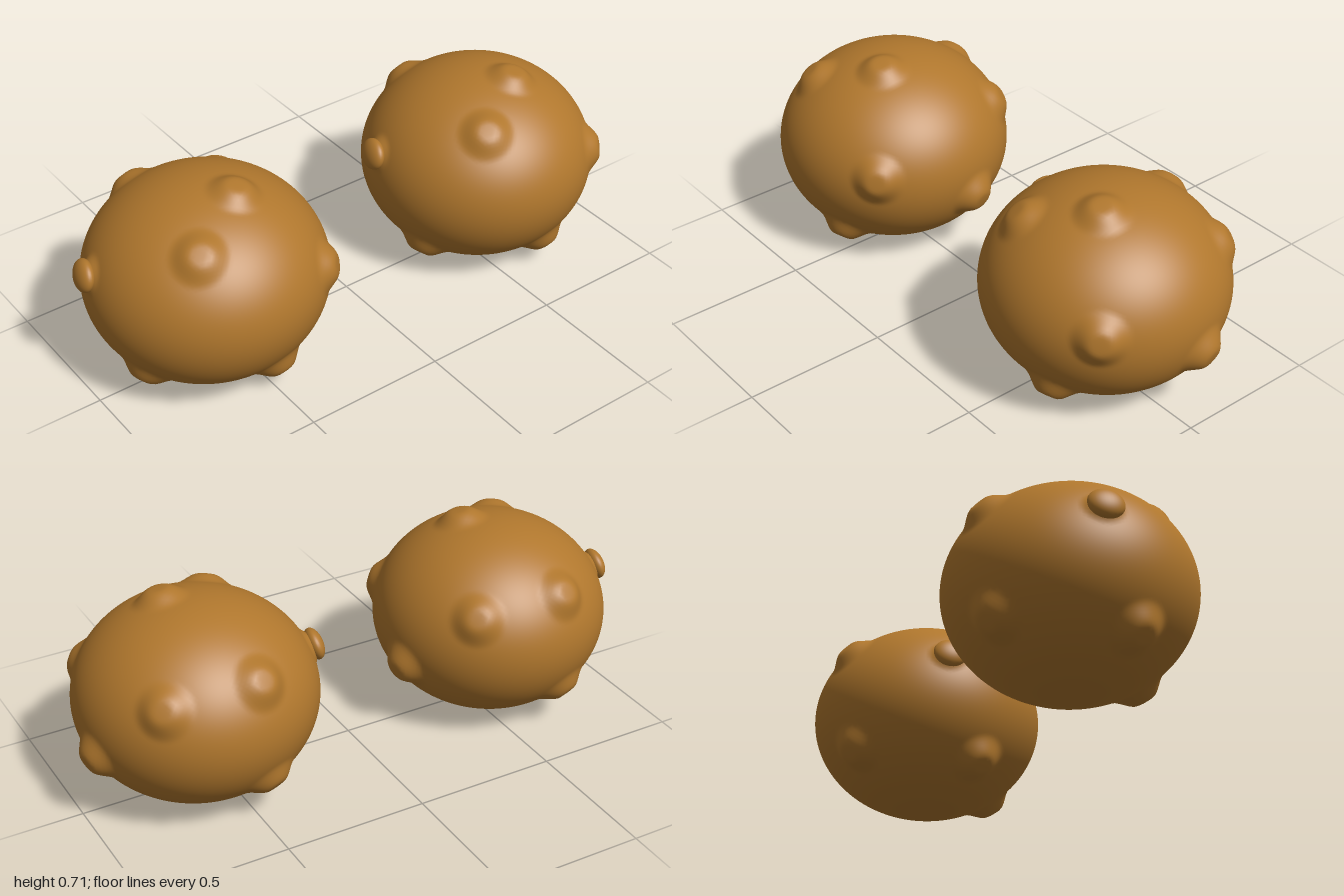
import * as THREE from 'three';
import { mergeVertices } from 'three/addons/utils/BufferGeometryUtils.js';

const RADII = new THREE.Vector3(0.41, 0.345, 0.41);

// Knobbly bumps: direction from the body centre, height, outer radius
const BUMPS = [
  [0.09, 0.33, -0.07, 0.03, 0.1],    // top
  [0.22, 0.25, 0.15, 0.028, 0.1],    // upper front left
  [-0.35, 0.2, 0.08, 0.03, 0.1],     // upper right
  [-0.28, 0.15, -0.23, 0.028, 0.1],  // upper back right
  [0.3, 0.06, -0.31, 0.032, 0.1],    // back left
  [-0.07, -0.095, -0.4, 0.038, 0.1], // back
  [0.3, -0.25, -0.085, 0.04, 0.1],   // lower left
  [-0.35, -0.21, 0.12, 0.03, 0.1],   // lower right
  [0.08, -0.24, 0.3, 0.034, 0.1],    // lower front
  [-0.08, 0.105, 0.38, 0.02, 0.07],  // neck under the front knob
];

// Project a direction onto the ellipsoid surface
function onSurface(v) {
  const k = Math.hypot(v.x / RADII.x, v.y / RADII.y, v.z / RADII.z);
  return v.clone().divideScalar(k);
}

// Smooth ellipsoid pushed outwards around each bump
function bodyGeometry() {
  let geo = new THREE.IcosahedronGeometry(1, 36);
  geo.deleteAttribute('uv');
  geo.deleteAttribute('normal');
  geo = mergeVertices(geo, 1e-5);
  const bumps = BUMPS.map(([x, y, z, height, radius]) => {
    const centre = onSurface(new THREE.Vector3(x, y, z));
    return { centre, height, radius, out: centre.clone().divide(RADII).divide(RADII).normalize() };
  });
  const pos = geo.attributes.position;
  const p = new THREE.Vector3();
  for (let i = 0; i < pos.count; i++) {
    p.fromBufferAttribute(pos, i).multiply(RADII);
    const base = p.clone();
    for (const b of bumps) {
      const d = base.distanceTo(b.centre);
      const w = 1 - THREE.MathUtils.smoothstep(d, b.radius * 0.3, b.radius);
      p.addScaledVector(b.out, b.height * w);
    }
    pos.setXYZ(i, p.x, p.y, p.z);
  }
  geo.computeVertexNormals();
  return geo;
}

export function createModel() {
  const model = new THREE.Group();
  const skin = new THREE.MeshStandardMaterial({ color: 0xb0772d });
  skin.name = 'brown skin';
  const body = bodyGeometry();
  const knob = new THREE.SphereGeometry(1, 32, 20);

  // Two identical lumps, one in front of the other
  for (const [name, z] of [['frontLump', 0.57], ['backLump', -0.575]]) {
    const lump = new THREE.Group();
    lump.name = name;
    const bodyMesh = new THREE.Mesh(body, skin);
    bodyMesh.name = 'body';
    const knobMesh = new THREE.Mesh(knob, skin);
    knobMesh.name = 'frontKnob';
    knobMesh.scale.set(0.06, 0.054, 0.03);
    knobMesh.position.set(-0.082, 0.107, 0.399);
    knobMesh.rotation.set(-0.25, -0.15, 0);
    lump.add(bodyMesh, knobMesh);
    lump.position.set(0, 0.345, z);
    model.add(lump);
  }
  return model;
}
